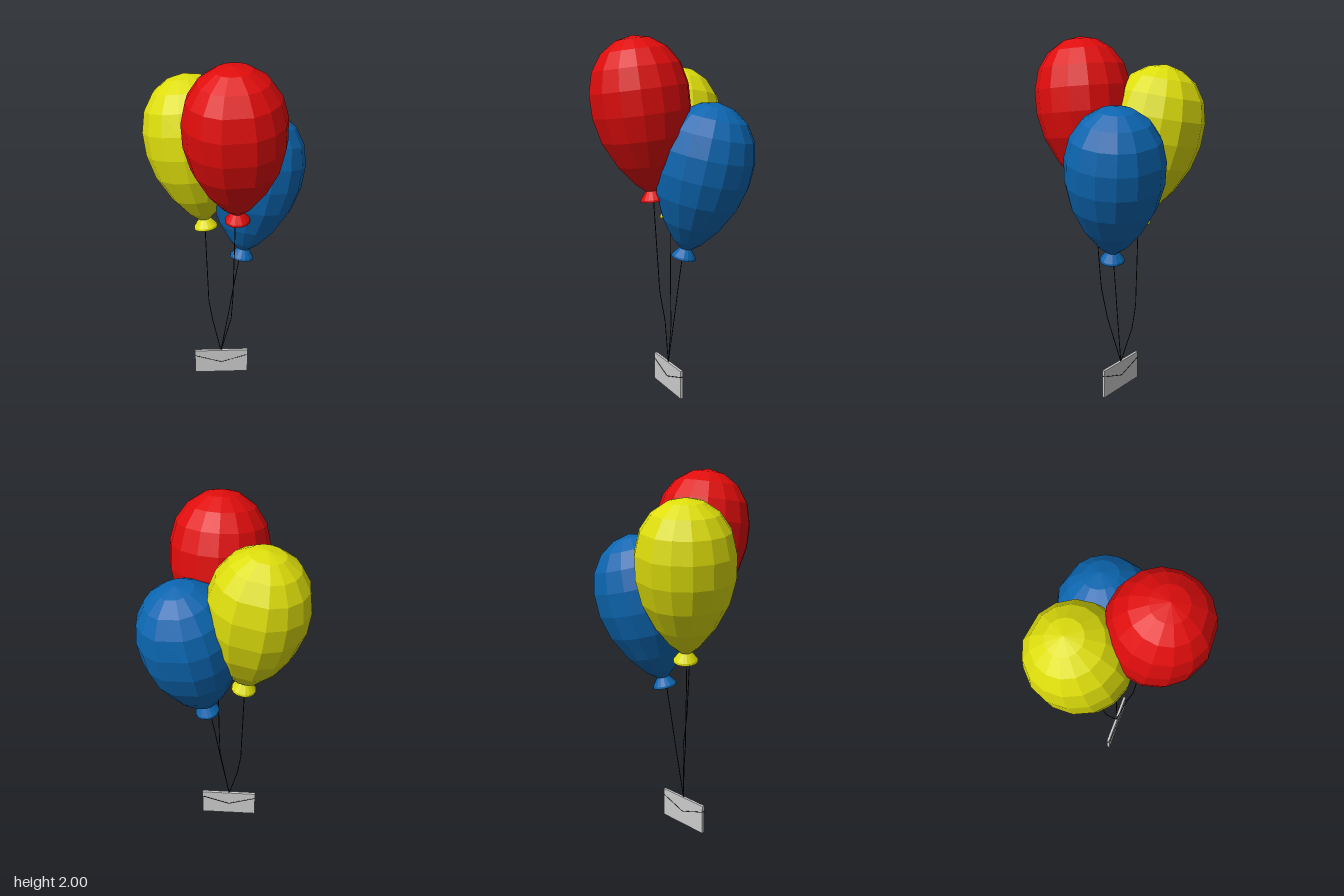
import * as THREE from 'three';
import { mergeGeometries } from 'three/addons/utils/BufferGeometryUtils.js';

const V = (a) => new THREE.Vector3(...a);
const mat = (color) => new THREE.MeshStandardMaterial({ color, flatShading: true });

function add(parent, name, geometry, material) {
  const mesh = new THREE.Mesh(geometry, material);
  mesh.name = name;
  parent.add(mesh);
  return mesh;
}

// Low-poly surface of revolution with one facet column wider than the rest
function facetedLathe(points) {
  const profile = points.map(([r, y]) => new THREE.Vector2(r, y));
  const rad = THREE.MathUtils.degToRad;
  return mergeGeometries([
    new THREE.LatheGeometry(profile, 14, rad(18), rad(324)),
    new THREE.LatheGeometry(profile, 1, rad(-18), rad(36)),
  ]);
}

// Body: nine latitude bands, stretched towards the neck
const BODY = [
  [0.033, 0.055], [0.085, 0.1], [0.162, 0.2], [0.23, 0.335], [0.261, 0.465],
  [0.262, 0.59], [0.234, 0.7], [0.175, 0.785], [0.092, 0.84], [0, 0.86],
];
// Knot: flared cone closed underneath
const KNOT = [[0, 0.008], [0.068, 0], [0.066, 0.012], [0.033, 0.055]];

function polyline(points, radius) {
  const path = new THREE.CurvePath();
  for (let i = 1; i < points.length; i++) {
    path.add(new THREE.LineCurve3(V(points[i - 1]), V(points[i])));
  }
  return new THREE.TubeGeometry(path, 24, radius, 5);
}

const TIE = [-0.035, 0.16, -0.04];

const BALLOONS = [
  { name: 'redBalloon', color: 0xe00c0c, bottom: [0.053, 1.143, 0.1], top: [0.02, 2.0, 0.2], spin: 2,
    string: [[0.025, 0.44, 0.012], [0.033, 0.62, 0.05], [0.042, 1.15, 0.092]] },
  { name: 'yellowBalloon', color: 0xdddd0c, bottom: [-0.115, 1.0, -0.1], top: [-0.22, 1.855, -0.2], spin: 170,
    string: [[-0.085, 0.37, -0.085], [-0.105, 0.5, -0.093], [-0.12, 1.01, -0.096]] },
  { name: 'blueBalloon', color: 0x0c66b0, bottom: [0.087, 0.815, -0.07], top: [0.222, 1.66, -0.2], spin: 170,
    string: [[0.018, 0.47, -0.054], [0.045, 0.64, -0.061], [0.076, 0.82, -0.069]] },
];

export function createModel() {
  const model = new THREE.Group();
  model.name = 'balloonsWithEnvelope';
  const black = mat(0x050505);
  const bodyGeometry = facetedLathe(BODY);
  const knotGeometry = facetedLathe(KNOT);

  // Balloons lean outwards along the line from knot to crown
  for (const b of BALLOONS) {
    const balloon = new THREE.Group();
    balloon.name = b.name;
    const axis = V(b.top).sub(V(b.bottom));
    balloon.position.copy(V(b.bottom));
    balloon.scale.set(1, axis.length() / 0.86, 1);
    balloon.quaternion.setFromUnitVectors(new THREE.Vector3(0, 1, 0), axis.normalize());
    const material = mat(b.color);
    for (const [name, geometry] of [['balloonBody', bodyGeometry], ['balloonKnot', knotGeometry]]) {
      add(balloon, name, geometry, material).rotation.y = THREE.MathUtils.degToRad(b.spin);
    }
    model.add(balloon);
    add(model, b.name + 'String', polyline([TIE, ...b.string], 0.0025), black);
  }

  // Envelope hanging from the strings
  const envelope = new THREE.Group();
  envelope.name = 'envelope';
  envelope.position.set(-0.033, 0, -0.04);
  model.add(envelope);
  add(envelope, 'envelopeBody', new THREE.BoxGeometry(0.325, 0.165, 0.016).translate(0, 0.0825, 0), mat(0xcccccc));

  // Flap crease, on both faces and across the short edges
  for (const s of [-1, 1]) {
    const z = s * 0.008;
    add(envelope, 'flapCrease', polyline([[-0.1625, 0.13, z], [0, 0.077, z], [0.1625, 0.13, z]], 0.002), black);
    add(envelope, 'edgeCrease', polyline([[s * 0.1625, 0.13, -0.008], [s * 0.1625, 0.13, 0.008]], 0.002), black);
  }
  return model;
}
